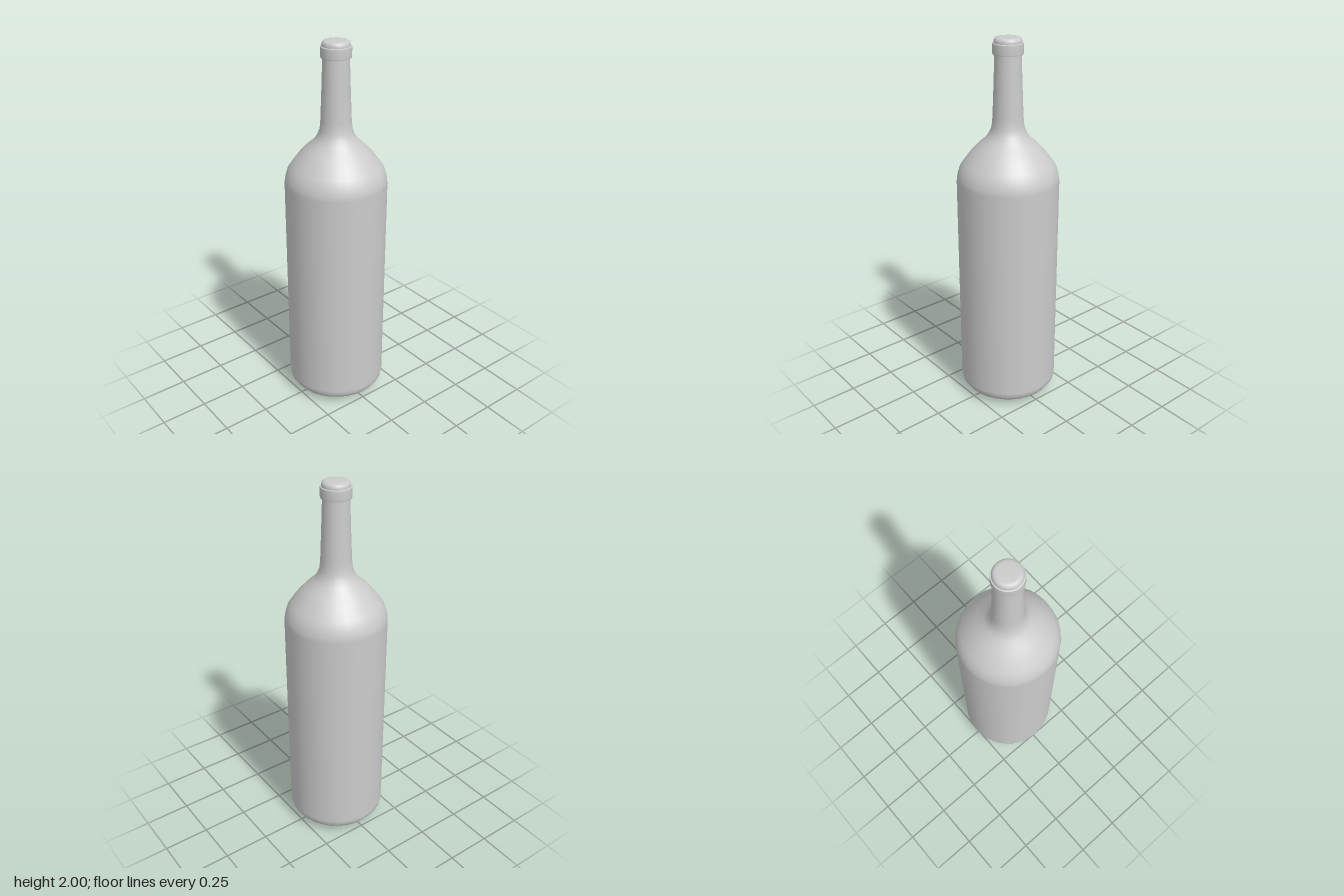
import * as THREE from 'three';

const SIDES = 32;

// Revolves a list of [radius, height] pairs, listed from bottom to top
function turned(name, profile, material) {
  const points = profile.map(([r, y]) => new THREE.Vector2(r, y));
  const mesh = new THREE.Mesh(new THREE.LatheGeometry(points, SIDES), material);
  mesh.name = name;
  return mesh;
}

export function createModel() {
  const material = new THREE.MeshStandardMaterial({ color: 0xcccccc });
  const group = new THREE.Group();
  group.name = 'bottle';

  // Slightly bulging base, straight body, rounded shoulder and tapering neck
  group.add(turned('body', [
    [0, 0], [0.08, 0.005], [0.21, 0.027], [0.25, 0.042], [0.264, 0.062], [0.268, 0.09],
    [0.268, 1.265], [0.264, 1.295], [0.252, 1.335], [0.232, 1.365], [0.198, 1.41],
    [0.157, 1.455], [0.115, 1.492], [0.097, 1.52], [0.084, 1.55], [0.079, 1.6],
    [0.073, 1.75], [0.067, 1.92],
  ], material));

  // Collar around the mouth: underside, band and narrow top ledge
  group.add(turned('collarUnderside', [[0.06, 1.915], [0.076, 1.917]], material));
  group.add(turned('collarBand', [[0.076, 1.917], [0.078, 1.925], [0.078, 1.965], [0.077, 1.971]], material));
  group.add(turned('collarLedge', [[0.077, 1.971], [0.07, 1.973]], material));

  // Closed, softly rounded cap
  group.add(turned('cap', [
    [0.071, 1.965], [0.071, 1.98], [0.068, 1.991], [0.06, 1.998], [0.045, 2], [0, 2],
  ], material));

  return group;
}
